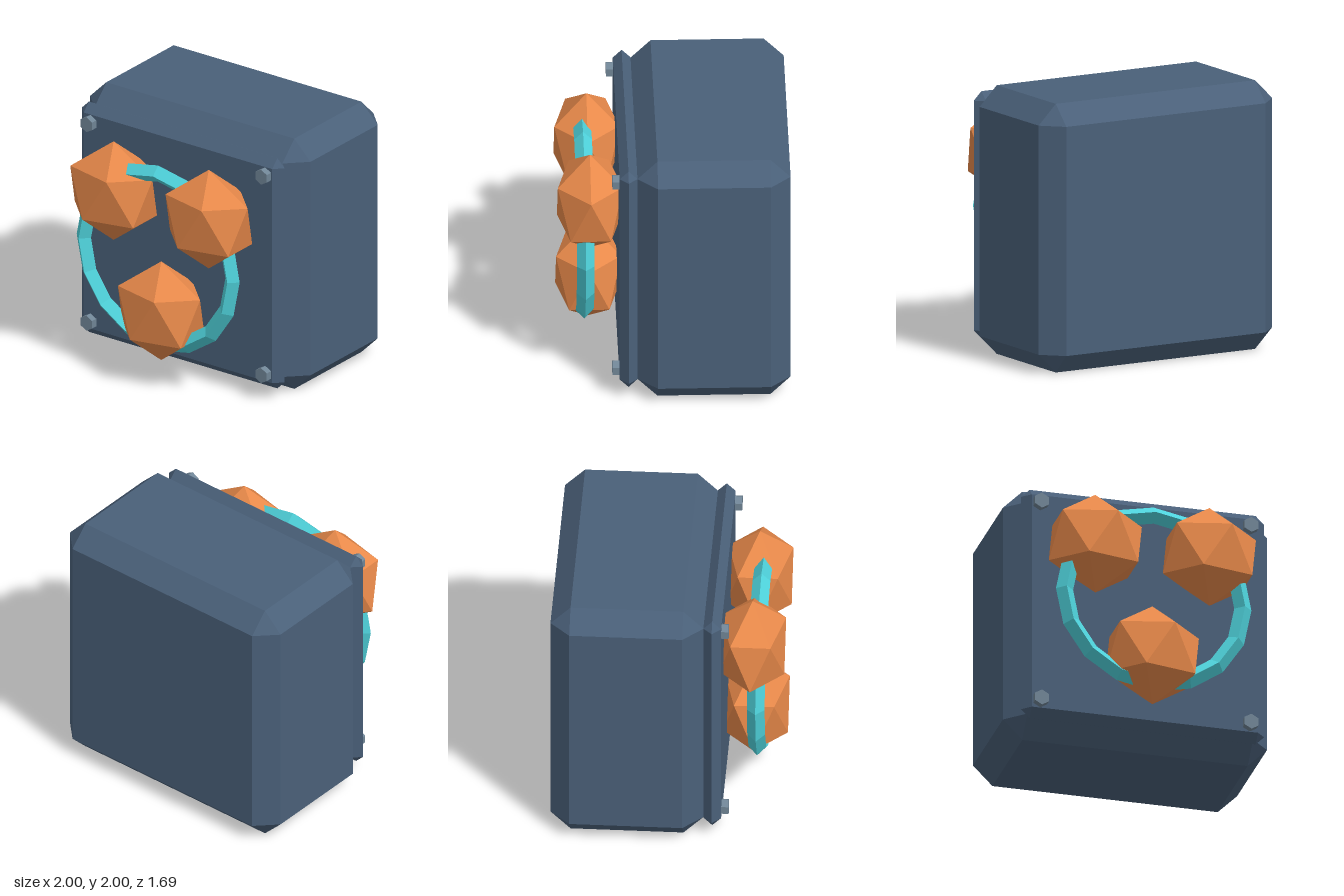
import * as THREE from 'three';
import { ConvexGeometry } from 'three/addons/geometries/ConvexGeometry.js';

const paint = (color) => new THREE.MeshStandardMaterial({ color, flatShading: true });

// Box with every edge and corner cut flat by c; hx, hy, hz are half sizes
function chamferedBox(hx, hy, hz, c) {
  const points = [];
  for (const x of [-1, 1]) for (const y of [-1, 1]) for (const z of [-1, 1]) {
    points.push(
      new THREE.Vector3(x * hx, y * (hy - c), z * (hz - c)),
      new THREE.Vector3(x * (hx - c), y * hy, z * (hz - c)),
      new THREE.Vector3(x * (hx - c), y * (hy - c), z * hz));
  }
  return new ConvexGeometry(points);
}

// Icosahedron standing on a corner: two poles and two offset rings of five
function uprightIcosahedron(r) {
  const points = [new THREE.Vector3(0, r, 0), new THREE.Vector3(0, -r, 0)];
  const h = r / Math.sqrt(5);
  for (let i = 0; i < 5; i++) {
    const a = (i * Math.PI * 2) / 5;
    const x = 2 * h * Math.cos(a), z = 2 * h * Math.sin(a);
    points.push(new THREE.Vector3(x, h, z), new THREE.Vector3(-x, -h, -z));
  }
  return new ConvexGeometry(points);
}

export function createModel() {
  const model = new THREE.Group();
  const add = (name, geometry, material, x, y, z) => {
    const mesh = new THREE.Mesh(geometry, material);
    mesh.name = name;
    mesh.position.set(x, y, z);
    model.add(mesh);
    return mesh;
  };
  const shell = paint(0x4a6079), orange = paint(0xe8894a);
  const cyan = paint(0x4fd3dc), steel = paint(0x708596);

  // Housing and front plate
  add('housing', chamferedBox(1, 1, 0.56, 0.147), shell, 0, 1, -0.286);
  add('frontPlate', chamferedBox(0.92, 0.92, 0.065, 0.0645), shell, 0, 1, 0.338);

  // Ring threaded through the three knobs
  add('ring', new THREE.TorusGeometry(0.675, 0.065, 4, 16), cyan, 0, 1.005, 0.645);

  // Faceted knobs, slightly flattened front to back
  const knob = uprightIcosahedron(0.394);
  for (const [name, x, y] of [['leftKnob', 0.432, 1.417], ['rightKnob', -0.432, 1.417], ['lowerKnob', 0, 0.571]]) {
    add(name, knob, orange, x, y, 0.608).scale.z = 0.71;
  }

  // Hexagonal bolts in the plate corners
  const bolt = new THREE.CylinderGeometry(0.06, 0.06, 0.08, 6).rotateX(Math.PI / 2);
  for (const x of [-0.793, 0.793]) for (const y of [0.207, 1.793]) {
    add('bolt', bolt, steel, x, y, 0.415);
  }
  return model;
}
